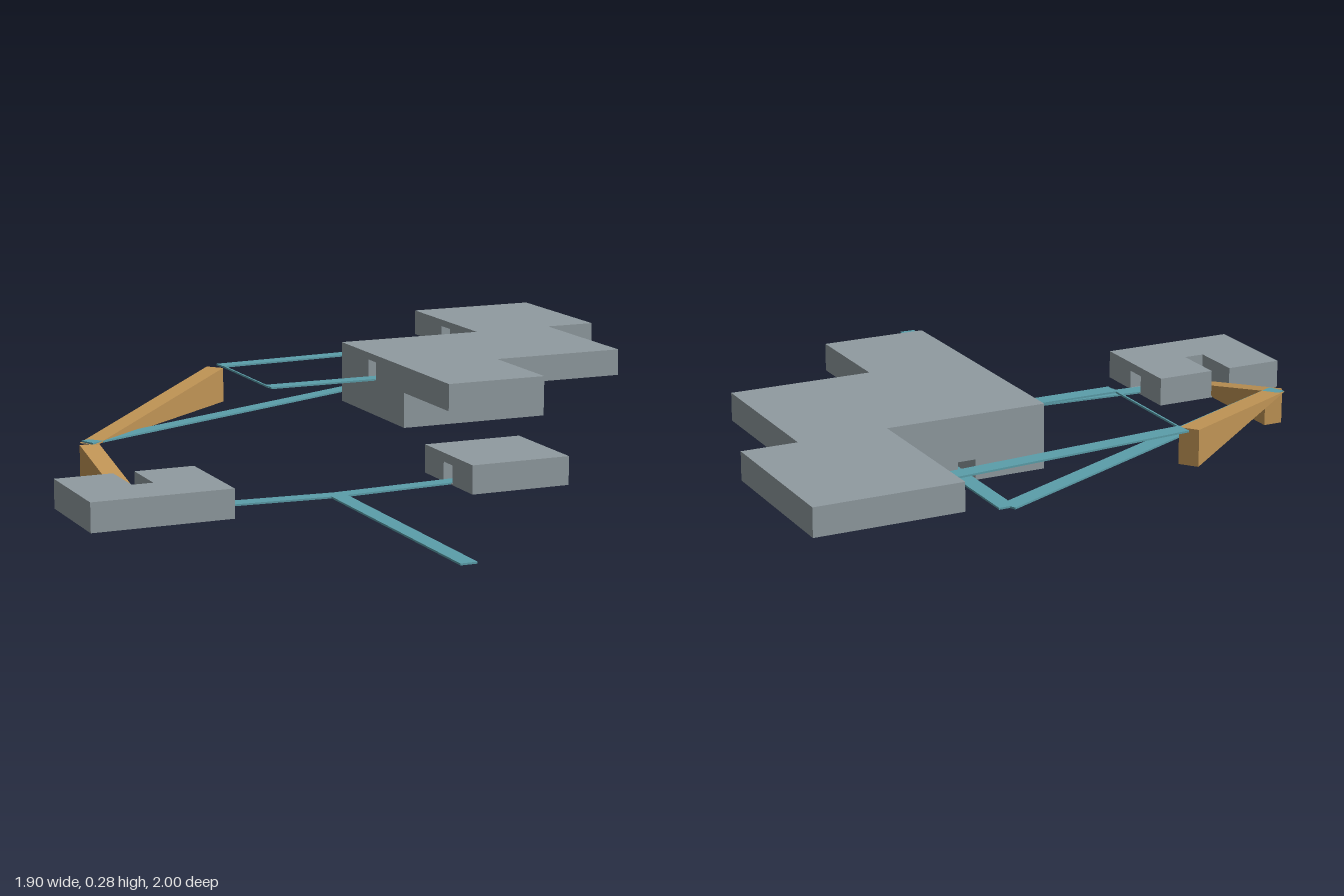
import * as THREE from 'three';

const wall = new THREE.MeshStandardMaterial({ name: 'wall grey', color: 0x909ba0 });
const teal = new THREE.MeshStandardMaterial({ name: 'path teal', color: 0x5b9eaa });
const ochre = new THREE.MeshStandardMaterial({ name: 'ramp ochre', color: 0xc09455 });

const FLOOR = 0.004, DOOR = 0.055, PATH = 0.046, RAMP = 0.055;

function add(parent, name, geometry, material) {
  const mesh = new THREE.Mesh(geometry, material);
  mesh.name = name;
  parent.add(mesh);
  return mesh;
}

// Upright slab from a plan outline of [x, z] corners
function slab(plan, y0, y1) {
  const shape = new THREE.Shape(plan.map(([x, z]) => new THREE.Vector2(x, -z)));
  const g = new THREE.ExtrudeGeometry(shape, { depth: y1 - y0, bevelEnabled: false });
  return g.rotateX(-Math.PI / 2).translate(0, y0, 0);
}

// Building volume: solid floor, walls notched by doorways, and a cap
function building(parent, name, y0, y1, outline, notched, capPlan = outline) {
  const group = new THREE.Group();
  group.name = name;
  parent.add(group);
  add(group, 'floor', slab(outline, y0, y0 + FLOOR), wall);
  add(group, 'walls', slab(notched, y0 + FLOOR, y0 + DOOR), wall);
  add(group, 'ceiling', slab(capPlan, y0 + DOOR, y1), wall);
}

// Thin flat walkway between two plan points
function path(parent, name, a, b, y, width = PATH) {
  const dx = b[0] - a[0], dz = b[1] - a[1];
  const g = new THREE.BoxGeometry(Math.hypot(dx, dz), 0.005, width);
  const mesh = add(parent, name, g, teal);
  mesh.position.set((a[0] + b[0]) / 2, y + 0.0035, (a[1] + b[1]) / 2);
  mesh.rotation.y = -Math.atan2(dz, dx);
}

// Wedge rising from plan point a to plan point b
function ramp(parent, name, a, b, y, rise) {
  const dx = b[0] - a[0], dz = b[1] - a[1], length = Math.hypot(dx, dz);
  const side = new THREE.Shape([
    new THREE.Vector2(0, 0), new THREE.Vector2(length, 0), new THREE.Vector2(length, rise),
  ]);
  const g = new THREE.ExtrudeGeometry(side, { depth: RAMP, bevelEnabled: false });
  g.translate(0, 0, -RAMP / 2);
  const mesh = add(parent, name, g, ochre);
  mesh.position.set(a[0], y + 0.001, a[1]);
  mesh.rotation.y = -Math.atan2(dz, dx);
}

export function createModel() {
  const model = new THREE.Group();
  model.name = 'buildingComplex';

  // Right entrance pavilion, with an open slot for the ramp at its back
  const rampSlot = [[-0.787, 0.02], [-0.787, 0.17], [-0.728, 0.17], [-0.728, 0.02]];
  building(model, 'rightPavilion', 0, 0.08,
    [[-0.95, 0.32], [-0.56, 0.32], [-0.56, 0.02], [-0.95, 0.02]],
    [[-0.95, 0.32], [-0.56, 0.32], [-0.56, 0.195], [-0.66, 0.195], [-0.66, 0.135], [-0.56, 0.135],
      [-0.56, 0.02], ...[...rampSlot].reverse(), [-0.95, 0.02]],
    [[-0.95, 0.32], [-0.56, 0.32], [-0.56, 0.02], ...[...rampSlot].reverse(), [-0.95, 0.02]]);

  // Left entrance pavilion
  building(model, 'leftPavilion', 0, 0.08,
    [[0.12, 0.32], [0.41, 0.32], [0.41, 0.02], [0.12, 0.02]],
    [[0.12, 0.32], [0.41, 0.32], [0.41, 0.02], [0.12, 0.02],
      [0.12, 0.14], [0.22, 0.14], [0.22, 0.195], [0.12, 0.195]]);

  // Middle storey, with a doorway at its back
  building(model, 'middleStorey', 0.1, 0.2,
    [[0.12, -0.12], [0.56, -0.12], [0.56, -0.56], [0.12, -0.56]],
    [[0.12, -0.12], [0.56, -0.12], [0.56, -0.56], [0.365, -0.56], [0.365, -0.34],
      [0.315, -0.34], [0.315, -0.56], [0.12, -0.56]]);

  // Stepped upper storey, with two doorways on its right side
  building(model, 'upperStorey', 0.2, 0.275,
    [[0.12, 0.17], [0.41, 0.17], [0.41, -0.12], [0.8, -0.12], [0.8, -0.56], [0.95, -0.56],
      [0.95, -1], [0.56, -1], [0.56, -0.56], [0.12, -0.56]],
    [[0.12, 0.17], [0.41, 0.17], [0.41, -0.12], [0.8, -0.12], [0.8, -0.56], [0.95, -0.56],
      [0.95, -1], [0.56, -1], [0.56, -0.805], [0.66, -0.805], [0.66, -0.745], [0.56, -0.745],
      [0.56, -0.56], [0.12, -0.56], [0.12, -0.368], [0.34, -0.368], [0.34, -0.315], [0.12, -0.315]]);

  // Ground walkways
  path(model, 'approachPath', [-0.22, 0.18], [-0.22, 1], 0);
  path(model, 'rightGroundPath', [-0.65, 0.158], [-0.22, 0.19], 0);
  path(model, 'leftGroundPath', [-0.22, 0.19], [0.21, 0.158], 0);

  // Middle level walkways
  path(model, 'longMiddlePath', [-0.76, -0.275], [0.335, -0.78], 0.1);
  path(model, 'backMiddlePath', [0.34, -0.785], [0.34, -0.35], 0.1, 0.044);

  // Upper level walkways and the narrow link between them
  path(model, 'backUpperPath', [-0.205, -0.711], [0.65, -0.777], 0.2);
  path(model, 'sideUpperPath', [-0.2, -0.342], [0.33, -0.342], 0.2);
  path(model, 'upperLink', [-0.2, -0.7], [-0.2, -0.34], 0.2, 0.005);

  // Ramps between the levels
  ramp(model, 'lowerRamp', [-0.758, 0.17], [-0.758, -0.265], 0, 0.1);
  ramp(model, 'upperRamp', [-0.76, -0.27], [-0.222, -0.708], 0.1, 0.1);

  // Foot of the inner lift under the middle storey
  add(model, 'liftFoot', new THREE.BoxGeometry(0.05, 0.004, 0.055), ochre).position.set(0.34, 0.101, -0.35);

  return model;
}
